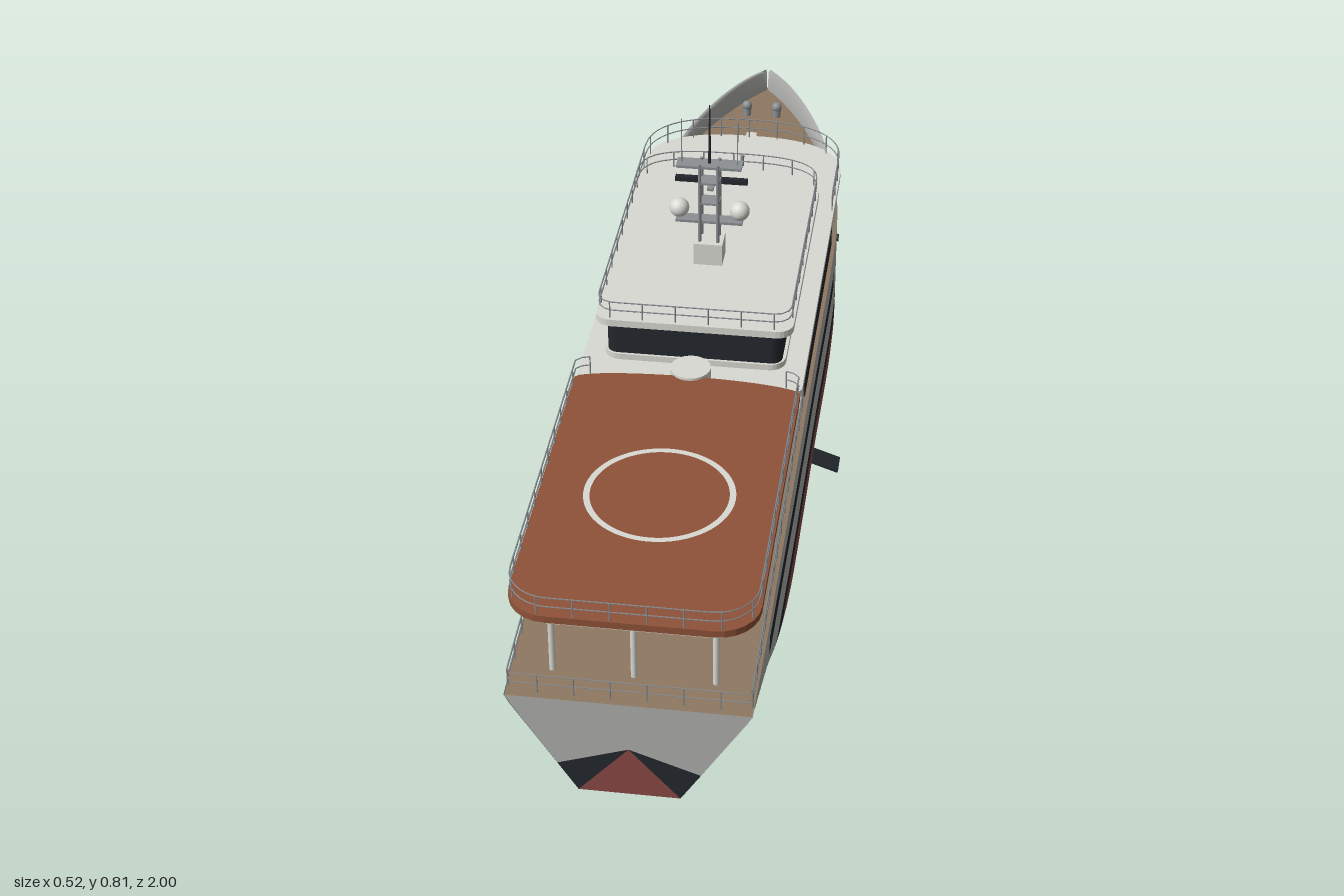
import * as THREE from 'three';

const mat = (color, side = THREE.FrontSide) => new THREE.MeshStandardMaterial({ color, side, roughness: 0.7 });
const D = THREE.DoubleSide;
const grey = mat(0xb0b0ae, D), white = mat(0xdadad4), red = mat(0x8a4a44, D), dark = mat(0x23272d, D);
const teak = mat(0x8d7760, D), pad = mat(0x8f5238), metal = mat(0x8c9094), yellow = mat(0xd2aa30);

// Hull stations: z, half beam, keel y, flat bottom half width, bilge height, bilge exponent, sheer y
const ST = [
  [1, .203, .057, .085, .19, 1, .25], [.8, .206, .04, .11, .15, 1.3, .262],
  [.6, .207, .012, .135, .09, 1.7, .272], [.4, .208, 0, .15, .055, 2, .28],
  [0, .208, 0, .15, .055, 2, .285], [-.4, .208, 0, .14, .06, 2, .288],
  [-.55, .198, 0, .1, .12, 1.9, .297], [-.65, .177, .003, .075, .2, 1.8, .315],
  [-.75, .147, .025, .045, .26, 1.6, .337], [-.85, .103, .062, .02, .27, 1.5, .352],
  [-.93, .058, .09, .008, .26, 1.4, .36], [-.98, .022, .103, .003, .25, 1.3, .362],
  [-1, .004, .11, .002, .25, 1.3, .362]];

// Smooth (Hermite) interpolation of one station column
function at(z, c) {
  let i = 0;
  while (i < ST.length - 2 && z < ST[i + 1][0]) i++;
  const slope = (k) => {
    const a = ST[Math.max(k - 1, 0)], b = ST[Math.min(k + 1, ST.length - 1)];
    return (b[c] - a[c]) / (b[0] - a[0]);
  };
  const p = ST[i], q = ST[i + 1], d = q[0] - p[0], t = (z - p[0]) / d, t2 = t * t, t3 = t2 * t;
  return (2 * t3 - 3 * t2 + 1) * p[c] + (t3 - 2 * t2 + t) * d * slope(i)
    + (3 * t2 - 2 * t3) * q[c] + (t3 - t2) * d * slope(i + 1);
}
const keel = (z) => Math.max(0, at(z, 2));
const sheer = (z) => at(z, 6);
const deckY = (z) => Math.min(sheer(z) - .002, z > -.5 ? 1 : .291 + (-.5 - z) * .05);
function hullX(z, y) {
  const w = at(z, 3), n = at(z, 5), u = Math.min(1, Math.max(0, (y - keel(z)) / at(z, 4)));
  return w + (at(z, 1) - w) * Math.pow(1 - Math.pow(1 - u, n), 1 / n);
}

// Surface from a rule f(i, j) -> [x, y, z]
function grid(ni, nj, f, flip) {
  const pos = [], idx = [];
  for (let i = 0; i <= ni; i++) for (let j = 0; j <= nj; j++) pos.push(...f(i, j));
  for (let i = 0; i < ni; i++) for (let j = 0; j < nj; j++) {
    const a = i * (nj + 1) + j, b = a + nj + 1;
    idx.push(...(flip ? [a, b + 1, b, a, a + 1, b + 1] : [a, b, b + 1, a, b + 1, a + 1]));
  }
  const g = new THREE.BufferGeometry();
  g.setAttribute('position', new THREE.Float32BufferAttribute(pos, 3));
  g.setIndex(idx);
  g.computeVertexNormals();
  return g;
}

// Deck outline as [x, z]: right half from stern to nose
function halfPlan(hw, zA, zF, nose, n, r) {
  const p = [], N = 16;
  for (let i = 0; i <= 6; i++) {
    const a = i / 6 * Math.PI / 2;
    p.push([hw - r + r * Math.sin(a), zA - r + r * Math.cos(a)]);
  }
  for (let i = 0; i <= N; i++) {
    const a = i / N * Math.PI / 2;
    p.push([hw * Math.pow(Math.max(0, Math.cos(a)), 2 / n), zF + nose - nose * Math.pow(Math.sin(a), 2 / n)]);
  }
  return p;
}
const mirror = (h) => h.map(([x, z]) => [-x, z]).reverse();
const full = (h) => [...h, ...mirror(h).slice(1)];

export function createModel() {
  const model = new THREE.Group();
  const add = (name, geo, m, x = 0, y = 0, z = 0, parent = model) => {
    const mesh = new THREE.Mesh(geo, m);
    mesh.name = name;
    mesh.position.set(x, y, z);
    parent.add(mesh);
    return mesh;
  };
  const box = (name, m, w, h, d, x, y, z) => add(name, new THREE.BoxGeometry(w, h, d), m, x, y, z);
  const rod = (name, m, r, h, x, y, z, rTop = r) => add(name, new THREE.CylinderGeometry(rTop, r, h, 12), m, x, y + h / 2, z);
  const slab = (name, m, half, y0, y1) => {
    const s = new THREE.Shape(full(half).map(([x, z]) => new THREE.Vector2(x, -z)));
    const g = new THREE.ExtrudeGeometry(s, { depth: y1 - y0, bevelEnabled: false }).rotateX(-Math.PI / 2);
    return add(name, g, m, 0, y0, 0);
  };
  const railing = (name, pts, h) => {
    const group = new THREE.Group(), path = new THREE.CurvePath();
    group.name = name;
    model.add(group);
    const v = pts.map((p) => new THREE.Vector3(...p)).filter((p, i, a) => !i || p.distanceTo(a[i - 1]) > 1e-4);
    for (let i = 1; i < v.length; i++) path.add(new THREE.LineCurve3(v[i - 1], v[i]));
    const len = path.getLength(), n = Math.round(len / .06);
    const tube = new THREE.TubeGeometry(path, Math.ceil(len / .015), .0014, 4);
    add('topRail', tube, metal, 0, h, 0, group);
    add('midRail', tube, metal, 0, h / 2, 0, group);
    const post = new THREE.CylinderGeometry(.0014, .0014, h, 5);
    for (let i = 0; i <= n; i++) {
      const p = path.getPoint(i / n);
      add('railPost', post, metal, p.x, p.y + h / 2, p.z, group);
    }
  };

  // Hull: antifouling, boot stripe and topsides, one strip per side
  const NZ = 80, zAt = (i) => 1 - 2 * i / NZ;
  for (const s of [1, -1]) {
    const band = (name, m, lo, hi, rows, bottom) => add(name, grid(NZ, rows, (i, j) => {
      const z = zAt(i), k = keel(z), a = Math.max(k, lo(z)), b = Math.max(k, hi(z));
      if (bottom && j === 0) return [0, k, z];
      const t = bottom ? Math.pow((j - 1) / (rows - 1), 2) : j / rows, y = a + (b - a) * t;
      return [s * hullX(z, y), y, z];
    }, s < 0), m);
    band('hullBottom', red, keel, () => .092, 12, true);
    band('bootStripe', dark, () => .092, () => .124, 3);
    band('topsides', grey, () => .124, sheer, 8);
    // Long hull window following the side
    add('hullWindow', grid(30, 2, (i, j) => {
      const z = .8 - 1.15 * i / 30, y = .21 + .035 * j / 2;
      return [s * (hullX(z, y) + .002), y, z];
    }, s < 0), dark);
    for (const z of [-.51, -.6, -.69]) {
      const p = add('porthole', new THREE.CylinderGeometry(.008, .008, .008, 16), dark, s * hullX(z, .232), .232, z);
      p.rotation.z = Math.PI / 2;
    }
    // Bulwark cap and inner face round the bow
    add('bulwark', grid(30, 2, (i, j) => {
      const z = -.55 - .44 * i / 30, x = Math.max(0, hullX(z, sheer(z)) - (j ? .012 : 0));
      return [s * x, j < 2 ? sheer(z) : deckY(z), z];
    }, s < 0), grey);
    // Stabilizer fin
    box('stabilizerFin', dark, .07, .005, .046, s * .225, .029, 0).rotation.z = -s * .34;
  }
  add('deck', grid(NZ, 2, (i, j) => {
    const z = zAt(i), y = deckY(z);
    return [(1 - j) * hullX(z, y), y, z];
  }), teak);

  // Transom, split in coloured facets that meet at the centre
  const facet = (name, m, pts) => add(name, new THREE.ShapeGeometry(new THREE.Shape(pts.map((p) => new THREE.Vector2(...p)))), m, 0, 0, 1);
  const cx = hullX(1, .112);
  facet('transomKeel', red, [[-.085, .057], [.085, .057], [0, .155]]);
  for (const s of [1, -1]) facet('transomStripe', dark, [[s * .085, .057], [s * cx, .112], [0, .155]]);
  facet('transom', grey, [[cx, .112], [.203, .25], [-.203, .25], [-cx, .112], [0, .155]]);

  // Bow gear
  box('anchor', dark, .04, .042, .03, 0, .163, -.983);
  add('bowThruster', new THREE.CylinderGeometry(.013, .013, .12, 16), dark, 0, .066, -.825).rotation.z = Math.PI / 2;
  for (const s of [1, -1]) {
    rod('bollard', metal, .009, .022, s * .033, .308, -.88);
    add('bollardHead', new THREE.SphereGeometry(.011, 12, 8), metal, s * .033, .333, -.88);
  }
  rod('cranePost', white, .011, .065, 0, .295, -.672);
  box('craneHead', white, .022, .016, .045, 0, .365, -.665);

  // Main house with windows
  const house = halfPlan(.2, .19, -.625, .14, 2.5, .005);
  slab('mainHouse', white, house, .27, .378);
  const front = full(house).filter((p) => p[1] < -.54);
  add('frontWindow', grid(front.length - 1, 1, (i, j) =>
    [front[i][0] * 1.012, .32 + .036 * j, front[i][1] - .003]), dark);
  box('aftHouse', white, .17, .12, .34, 0, .325, .36);
  for (const s of [1, -1]) {
    box('sideWindow', dark, .006, .066, .54, s * .2, .337, -.09);
    box('aftHouseWindow', dark, .006, .066, .31, s * .085, .333, .355);
    box('aftWindow', dark, .103, .073, .006, s * .138, .338, .19);
  }
  const upper = halfPlan(.206, .285, -.645, .145, 2.5, .01);
  slab('upperDeck', white, upper, .374, .388);
  railing('upperDeckRail', full(upper).flatMap(([x, z]) => z < -.49 ? [[x * .98, .388, z + .006]] : [])
    .flatMap((p, i, a) => i === 0 ? [[.202, .388, -.36], p] : i === a.length - 1 ? [p, [-.202, .388, -.36]] : [p]), .042);
  rod('foreLight', metal, .004, .025, 0, .388, -.515);

  // Bridge and its roof
  slab('bridgeBase', white, halfPlan(.168, .225, -.34, .1, 3, .03), .388, .4);
  slab('bridgeWindows', dark, halfPlan(.162, .22, -.305, .1, 3, .02), .4, .466);
  const roof = halfPlan(.182, .235, -.355, .1, 3, .03);
  slab('bridgeRoof', white, roof, .466, .48);
  const ring = full(roof).map(([x, z]) => [x * .975, .48, z * .97]);
  railing('roofRail', [...ring, ring[0]], .034);
  add('hotTub', new THREE.CylinderGeometry(.037, .037, .02, 32), white, 0, .398, .262);

  // Helicopter deck on columns
  const heli = halfPlan(.206, .978, .285, .03, 2, .07);
  slab('helideck', pad, heli, .39, .403);
  slab('helideckFrame', white, heli.map(([x, z]) => [x * .97, (z - .63) * .98 + .63]), .383, .39);
  add('landingCircle', new THREE.RingGeometry(.119, .13, 64).rotateX(-Math.PI / 2), white, 0, .4045, .64);
  railing('helideckRail', [...mirror(heli), ...heli].filter((p) => p[1] > .3)
    .map(([x, z]) => [x * .985, .403, z - .003]), .036);
  for (const [x, z] of [[0, .93], [.135, .93], [.135, .76], [.19, .58]])
    for (const s of x ? [1, -1] : [1]) rod('helideckColumn', white, .0055, .387 - deckY(z), s * x, deckY(z), z);

  // Main deck railing round the stern
  const side = Array.from({ length: 9 }, (_, i) => [.2, sheer(.2 + .0985 * i), .2 + .0985 * i]);
  railing('sternRail', [...side, ...side.map(([x, y, z]) => [-x, y, z]).reverse()], .036);

  // Tenders beside the aft house
  for (const s of [1, -1]) {
    const hull = add('tender', new THREE.CapsuleGeometry(.022, .19, 8, 20).rotateX(Math.PI / 2), white, s * .15, .306, .395);
    hull.scale.x = 1.36;
    box('tenderConsole', yellow, .05, .026, .115, s * .15, .333, .37);
    for (const z of [.34, .45]) box('tenderCradle', metal, .04, .016, .01, s * .15, .284, z);
  }

  // Mast with domes, radar and aerials
  box('mastBase', white, .054, .045, .05, 0, .502, 0);
  for (const s of [1, -1]) {
    for (const z of [-.014, .014]) rod('mastLeg', metal, .0032, .165, s * .017, .525, z);
    add('satelliteDome', new THREE.SphereGeometry(.0185, 24, 16), white, s * .057, .588, 0);
    rod('whipAerial', metal, .001, .09, s * .052, .686, 0);
  }
  box('domePlatform', metal, .126, .005, .026, 0, .566, 0);
  for (const y of [.607, .65]) box('mastRung', metal, .04, .004, .032, 0, y, 0);
  box('spreader', metal, .122, .005, .032, 0, .684, 0);
  box('radarBracket', metal, .012, .005, .03, 0, .626, -.02);
  box('radarBar', dark, .136, .01, .01, 0, .635, -.028);
  rod('mainAerial', dark, .003, .121, 0, .687, 0, .001);
  return model;
}
